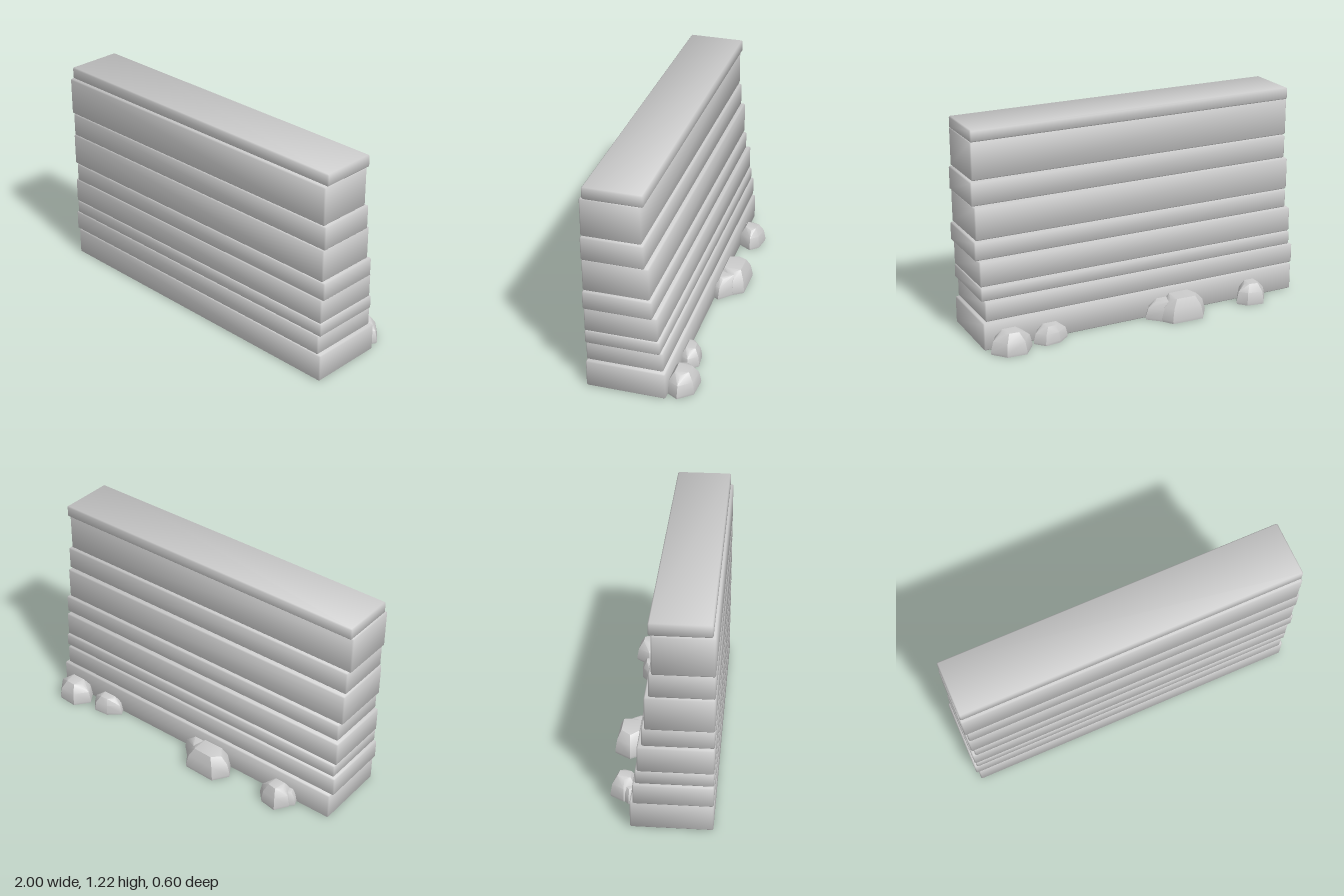
import * as THREE from 'three';
import { ConvexGeometry } from 'three/addons/geometries/ConvexGeometry.js';
import { toCreasedNormals } from 'three/addons/utils/BufferGeometryUtils.js';

const material = new THREE.MeshStandardMaterial({ color: 0xcccccc });
const BEVEL = 0.007;

// Chamfered slab between two corners, with normals softened toward its edges
function slabGeometry(min, max) {
  const centre = min.clone().add(max).multiplyScalar(0.5);
  const half = max.clone().sub(min).multiplyScalar(0.5);
  const points = [];
  for (const sx of [-1, 1]) for (const sy of [-1, 1]) for (const sz of [-1, 1]) {
    for (let axis = 0; axis < 3; axis++) {
      const p = half.clone().subScalar(BEVEL);
      p.setComponent(axis, half.getComponent(axis));
      points.push(p.multiply(new THREE.Vector3(sx, sy, sz)));
    }
  }
  const geometry = new ConvexGeometry(points);
  const position = geometry.attributes.position;
  const p = new THREE.Vector3();
  const n = new THREE.Vector3();
  for (let i = 0; i < position.count; i++) {
    p.fromBufferAttribute(position, i);
    for (let axis = 0; axis < 3; axis++) {
      const c = p.getComponent(axis);
      const onFace = half.getComponent(axis) - Math.abs(c) < BEVEL * 0.5;
      n.setComponent(axis, Math.sign(c) * (onFace ? 1 : 0.39));
    }
    n.normalize();
    geometry.attributes.normal.setXYZ(i, n.x, n.y, n.z);
  }
  return geometry.translate(centre.x, centre.y, centre.z);
}

// Boulder: a ground outline of [x, z] points drawn in toward a flat crown
function boulderGeometry(outline, height, crown) {
  const cx = outline.reduce((s, p) => s + p[0], 0) / outline.length;
  const cz = outline.reduce((s, p) => s + p[1], 0) / outline.length;
  const rings = [[0.97, 0], [1, 0.12], [0.87, 0.62], [crown, 1]];
  const points = [];
  for (const [scale, level] of rings) {
    outline.forEach(([x, z], i) => {
      const dip = level === 1 && i % 3 === 0 ? 0.93 : 1;
      points.push(new THREE.Vector3(cx + (x - cx) * scale, height * level * dip, cz + (z - cz) * scale));
    });
  }
  return toCreasedNormals(new ConvexGeometry(points), 0.6);
}

export function createModel() {
  const group = new THREE.Group();
  const add = (name, geometry, parent) => {
    const mesh = new THREE.Mesh(geometry, material);
    mesh.name = name;
    parent.add(mesh);
  };

  // Wall courses: bottom, top, left end, right end, back, front
  const wall = new THREE.Group();
  wall.name = 'steppedWall';
  const courses = [
    [0, 0.16, -0.985, 0.985, -0.142, 0.3],
    [0.16, 0.277, -1, 0.966, -0.125, 0.3],
    [0.277, 0.356, -0.985, 0.982, -0.113, 0.3],
    [0.356, 0.502, -0.99, 0.98, -0.101, 0.3],
    [0.502, 0.61, -0.972, 0.996, -0.078, 0.3],
    [0.61, 0.799, -0.986, 0.982, -0.062, 0.3],
    [0.799, 0.936, -0.978, 0.99, -0.039, 0.3],
    [0.936, 1.154, -0.99, 0.978, -0.024, 0.3],
    [1.154, 1.222, -0.985, 0.982, -0.039, 0.284],
  ];
  courses.forEach(([y0, y1, x0, x1, z0, z1], i) => {
    const geometry = slabGeometry(new THREE.Vector3(x0, y0, z0), new THREE.Vector3(x1, y1, z1));
    add(i === courses.length - 1 ? 'capStone' : 'wallCourse' + (i + 1), geometry, wall);
  });
  group.add(wall);

  // Boulders along the foot of the back face
  const boulders = new THREE.Group();
  boulders.name = 'boulders';
  const rocks = [
    { height: 0.122, crown: 0.5, outline: [[0.725, -0.2], [0.79, -0.285], [0.905, -0.278], [0.97, -0.2], [0.93, -0.13], [0.77, -0.13]] },
    { height: 0.1, crown: 0.5, outline: [[0.5, -0.17], [0.57, -0.228], [0.66, -0.236], [0.71, -0.18], [0.68, -0.13], [0.52, -0.13]] },
    { height: 0.136, crown: 0.6, outline: [[-0.355, -0.21], [-0.295, -0.3], [-0.1, -0.295], [-0.06, -0.235], [-0.1, -0.13], [-0.3, -0.13]] },
    { height: 0.115, crown: 0.55, outline: [[-0.24, -0.2], [-0.2, -0.265], [-0.09, -0.262], [0.01, -0.165], [-0.01, -0.13], [-0.22, -0.13]] },
    { height: 0.122, crown: 0.5, outline: [[-0.765, -0.2], [-0.715, -0.277], [-0.615, -0.26], [-0.57, -0.21], [-0.62, -0.13], [-0.74, -0.13]] },
    { height: 0.085, crown: 0.6, outline: [[-0.785, -0.17], [-0.75, -0.205], [-0.68, -0.2], [-0.64, -0.165], [-0.66, -0.13], [-0.77, -0.13]] },
  ];
  rocks.forEach(({ outline, height, crown }, i) => {
    add('boulder' + (i + 1), boulderGeometry(outline, height, crown), boulders);
  });
  group.add(boulders);

  return group;
}
